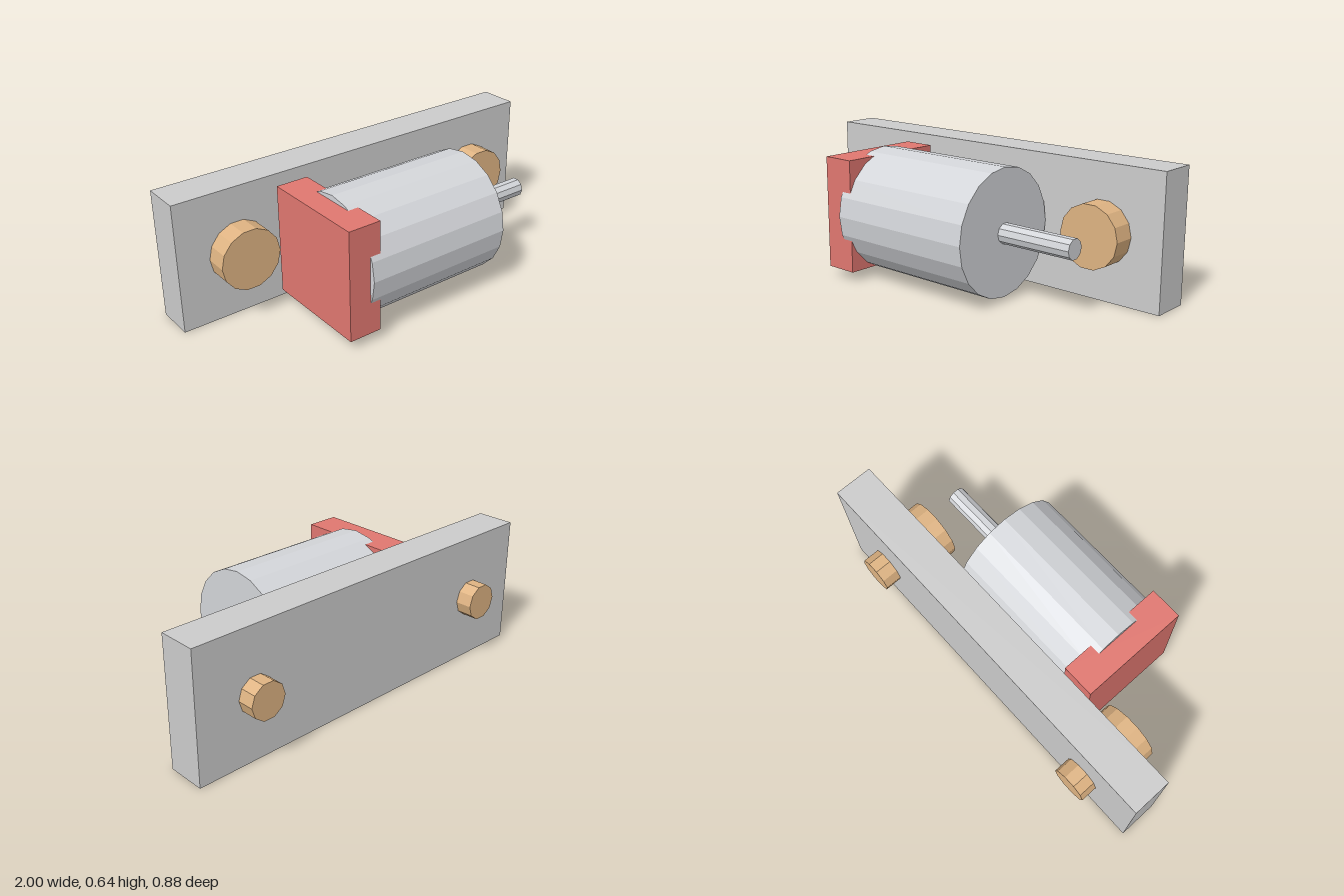
import * as THREE from 'three';

const mat = (color) => new THREE.MeshStandardMaterial({ color, flatShading: true });

export function createModel() {
  const group = new THREE.Group();
  const grey = mat(0xcccccc), steel = mat(0xd3d5d9), brass = mat(0xdeb382), red = mat(0xe07770);

  const add = (name, geometry, material, x, y, z) => {
    const mesh = new THREE.Mesh(geometry, material);
    mesh.name = name;
    mesh.position.set(x, y, z);
    group.add(mesh);
  };
  // Faceted cylinders lying along x or along z
  const rodX = (r, length, sides) =>
    new THREE.CylinderGeometry(r, r, length, sides).rotateZ(-Math.PI / 2);
  const rodZ = (r, length, sides) =>
    new THREE.CylinderGeometry(r, r, length, sides).rotateY(Math.PI / 2).rotateX(Math.PI / 2);

  const midY = 0.321, motorZ = 0.138;

  // Mounting plate
  add('mountingPlate', new THREE.BoxGeometry(2, 0.64, 0.19), grey, 0, 0.32, -0.26);

  // Motor: body, output shaft and square end cap
  add('motorBody', rodX(0.3, 0.765, 20), steel, -0.0025, midY, motorZ);
  add('motorShaft', rodX(0.048, 0.38, 10), steel, 0.57, midY, motorZ);
  add('motorEndCap', new THREE.BoxGeometry(0.163, 0.545, 0.547), red, -0.4135, midY, motorZ);

  // Bolts through the plate: wide head in front, small end at the back
  for (const [side, x] of [['left', 0.693], ['right', -0.693]]) {
    add(`${side}BoltHead`, rodZ(0.15, 0.11, 14), brass, x, midY, -0.11);
    add(`${side}BoltEnd`, rodZ(0.09, 0.082, 10), brass, x, midY, -0.396);
  }
  return group;
}
